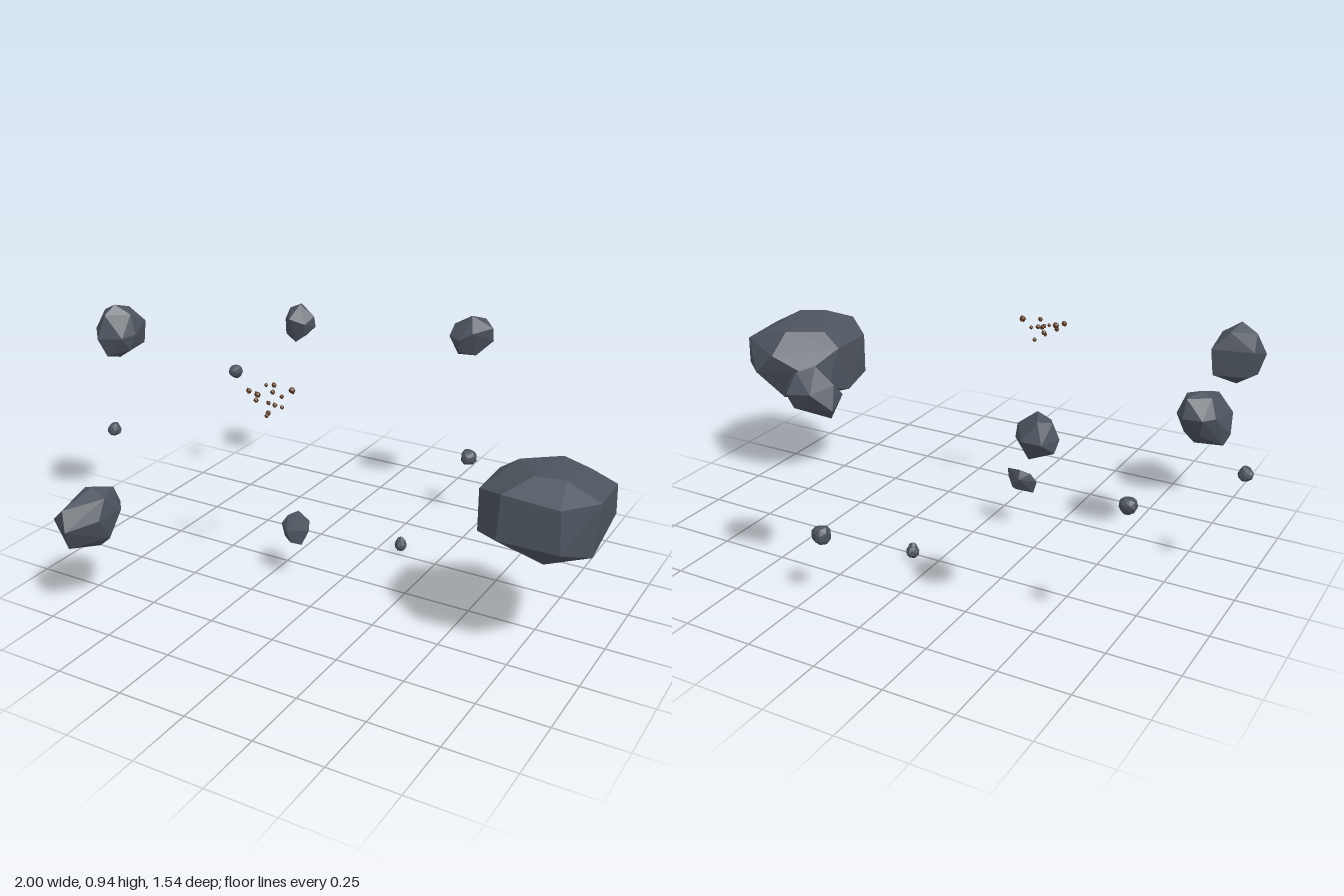
import * as THREE from 'three';
import { ConvexGeometry } from 'three/addons/geometries/ConvexGeometry.js';

const stone = new THREE.MeshStandardMaterial({ color: 0x4d545e, flatShading: true });
stone.name = 'slate stone';
const rust = new THREE.MeshStandardMaterial({ color: 0x5c3a24, flatShading: true });
rust.name = 'rusty brown';

// Faceted rock: hull around its corner points
function boulder(name, corners) {
  const geo = new ConvexGeometry(corners.map((c) => new THREE.Vector3(...c)));
  const mesh = new THREE.Mesh(geo, stone);
  mesh.name = name;
  return mesh;
}

// Small lumpy rock fitted to a given centre and size
function pebble(name, centre, size, seed, material, detail = 1) {
  const geo = new THREE.IcosahedronGeometry(1, detail);
  const pos = geo.attributes.position;
  const v = new THREE.Vector3();
  for (let i = 0; i < pos.count; i++) {
    v.fromBufferAttribute(pos, i);
    const bump = Math.sin(v.x * 3.1 + seed * 1.7) + Math.sin(v.y * 3.7 + seed * 2.3) + Math.sin(v.z * 4.1 + seed);
    v.multiplyScalar(1 + 0.09 * bump);
    pos.setXYZ(i, v.x, v.y, v.z);
  }
  geo.center();
  geo.boundingBox.getSize(v);
  geo.scale(size[0] / v.x, size[1] / v.y, size[2] / v.z);
  geo.computeVertexNormals();
  const mesh = new THREE.Mesh(geo, material);
  mesh.name = name;
  mesh.position.set(...centre);
  return mesh;
}

export function createModel() {
  const model = new THREE.Group();
  model.name = 'asteroidField';

  // Large rocks
  model.add(boulder('giantAsteroid', [
    [0.79, 0.677, 0.22], [0.885, 0.67, 0.19], [0.68, 0.65, 0.06], [0.8, 0.655, -0.02],
    [0.9, 0.64, 0], [0.72, 0.635, 0.31], [0.91, 0.62, 0.3], [0.615, 0.6, 0.23],
    [0.61, 0.6, 0.05], [0.995, 0.61, 0.17], [0.985, 0.6, -0.015], [0.81, 0.58, -0.1],
    [0.895, 0.5, -0.095], [0.685, 0.52, -0.07], [0.605, 0.42, 0.1], [0.63, 0.45, 0],
    [0.715, 0.48, 0.32], [0.92, 0.47, 0.3], [0.615, 0.45, 0.23], [0.98, 0.42, 0.17],
    [0.99, 0.5, -0.01], [0.79, 0.345, 0.14], [0.8, 0.4, -0.05], [0.85, 0.4, 0.25],
  ]));
  model.add(boulder('frontAsteroid', [
    [-0.637, 0.472, 0.617], [-0.6, 0.455, 0.55], [-0.573, 0.448, 0.63], [-0.68, 0.455, 0.6],
    [-0.66, 0.43, 0.745], [-0.557, 0.384, 0.57], [-0.57, 0.38, 0.67], [-0.676, 0.39, 0.518],
    [-0.6, 0.385, 0.518], [-0.637, 0.362, 0.767], [-0.73, 0.37, 0.715], [-0.712, 0.39, 0.565],
    [-0.573, 0.293, 0.62], [-0.616, 0.256, 0.62], [-0.725, 0.258, 0.64], [-0.744, 0.3, 0.66],
    [-0.66, 0.28, 0.73], [-0.66, 0.315, 0.55],
  ]));
  model.add(boulder('tallAsteroid', [
    [-0.915, 0.935, 0.1], [-0.9, 0.915, 0.037], [-0.86, 0.9, 0.08], [-0.97, 0.907, 0.09],
    [-0.925, 0.905, 0.148], [-0.85, 0.86, 0.008], [-0.985, 0.865, 0.022], [-0.84, 0.827, 0.085],
    [-0.863, 0.82, 0.135], [-0.944, 0.817, 0.175], [-0.998, 0.837, 0.115], [-0.86, 0.775, 0.01],
    [-0.965, 0.78, 0.02], [-0.856, 0.77, 0.1], [-0.915, 0.73, 0.09], [-0.98, 0.77, 0.1],
    [-0.93, 0.745, 0.144],
  ]));
  model.add(boulder('backLeftAsteroid', [
    [0.168, 0.845, -0.69], [0.21, 0.83, -0.73], [0.093, 0.8, -0.7], [0.253, 0.805, -0.7],
    [0.136, 0.78, -0.765], [0.22, 0.77, -0.772], [0.195, 0.79, -0.636], [0.147, 0.76, -0.622],
    [0.088, 0.76, -0.663], [0.083, 0.725, -0.727], [0.253, 0.752, -0.71], [0.195, 0.693, -0.68],
    [0.115, 0.683, -0.69], [0.21, 0.72, -0.75], [0.14, 0.71, -0.64],
  ]));
  model.add(boulder('backRightAsteroid', [
    [-0.547, 0.808, -0.6], [-0.57, 0.795, -0.65], [-0.6, 0.784, -0.61], [-0.488, 0.763, -0.61],
    [-0.56, 0.76, -0.535], [-0.5, 0.74, -0.556], [-0.6, 0.74, -0.682], [-0.537, 0.74, -0.682],
    [-0.484, 0.72, -0.615], [-0.62, 0.735, -0.604], [-0.616, 0.7, -0.63], [-0.59, 0.69, -0.56],
    [-0.552, 0.656, -0.57], [-0.54, 0.67, -0.64], [-0.51, 0.69, -0.57],
  ]));
  model.add(boulder('lowAsteroid', [
    [-0.157, 0.262, 0.065], [-0.095, 0.247, 0.09], [-0.19, 0.245, 0.085], [-0.16, 0.23, 0.05],
    [-0.21, 0.213, 0.097], [-0.093, 0.21, 0.1], [-0.16, 0.215, 0.143], [-0.13, 0.19, 0.06],
    [-0.195, 0.165, 0.1], [-0.115, 0.155, 0.115], [-0.15, 0.165, 0.135],
  ]));

  // Small stray rocks
  const strays = [
    [[0.09, 0.032, -0.28], [0.05, 0.064, 0.055]],
    [[0.183, 0.26, -0.683], [0.066, 0.064, 0.066]],
    [[-0.793, 0.513, -0.478], [0.056, 0.056, 0.058]],
    [[-0.975, 0.427, 0.09], [0.05, 0.052, 0.05]],
  ];
  strays.forEach(([centre, size], i) => model.add(pebble('strayRock', centre, size, i + 1, stone)));

  // Cluster of rusty fragments: x, y, z, diameter
  const debris = new THREE.Group();
  debris.name = 'debrisCluster';
  const chips = [
    [-0.09, 0.785, 0.2, 0.022], [-0.23, 0.775, 0.25, 0.018], [-0.2, 0.765, 0.245, 0.02],
    [-0.2, 0.748, 0.255, 0.016], [-0.2, 0.782, 0.19, 0.012], [-0.158, 0.793, 0.205, 0.016],
    [-0.162, 0.733, 0.152, 0.014], [-0.14, 0.72, 0.272, 0.016], [-0.147, 0.75, 0.26, 0.014],
    [-0.125, 0.745, 0.255, 0.016], [-0.1, 0.74, 0.25, 0.013], [-0.168, 0.765, 0.2, 0.016],
    [-0.142, 0.712, 0.28, 0.013],
  ];
  chips.forEach(([x, y, z, d], i) =>
    debris.add(pebble('fragment', [x, y, z], [d, d * 1.1, d], i, rust, 0)));
  model.add(debris);

  return model;
}
